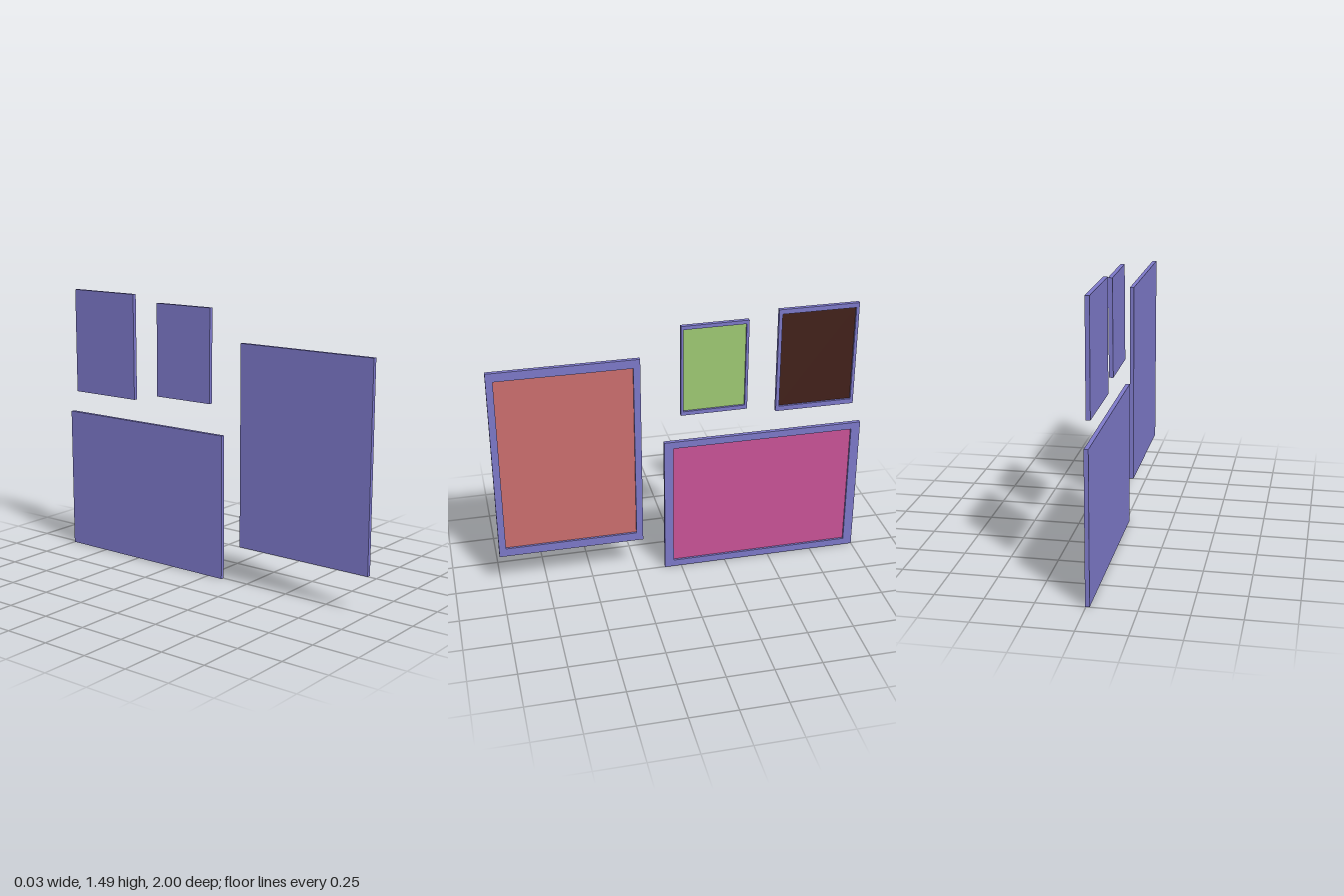
import * as THREE from 'three';

const DEPTH = 0.022; // frame thickness
const RECESS = 0.012; // how far the picture sits behind the frame face
const frameMaterial = new THREE.MeshStandardMaterial({ color: 0x7c78c8 });

// outer / inner: [zMin, zMax, yMin, yMax]
const PICTURES = [
  { name: 'tallPicture', color: 0xca6e6e, x: -0.007, outer: [0.214, 1, 0.203, 1.291], inner: [0.25, 0.963, 0.25, 1.243] },
  { name: 'widePicture', color: 0xc85296, x: -0.007, outer: [-1, 0.092, 0, 0.789], inner: [-0.95, 0.043, 0.039, 0.75] },
  { name: 'smallPicture', color: 0x9dc873, x: 0.002, outer: [-0.355, 0.004, 0.948, 1.456], inner: [-0.341, -0.009, 0.97, 1.436], tiltY: 0.01, tiltZ: -0.007 },
  { name: 'darkPicture', color: 0x412019, x: -0.007, outer: [-0.948, -0.515, 0.911, 1.493], inner: [-0.932, -0.533, 0.938, 1.467] },
];

function trace(path, x0, x1, y0, y1) {
  path.moveTo(x0, y0);
  path.lineTo(x1, y0);
  path.lineTo(x1, y1);
  path.lineTo(x0, y1);
  path.closePath();
  return path;
}

function makePicture({ name, color, x, outer, inner, tiltY = 0, tiltZ = 0 }) {
  const picture = new THREE.Group();
  picture.name = name;
  const cz = (outer[0] + outer[1]) / 2;
  const cy = (outer[2] + outer[3]) / 2;
  // wall coordinates to local ones, with the picture facing local +z
  const local = ([z0, z1, y0, y1]) => [cz - z1, cz - z0, y0 - cy, y1 - cy];
  const o = local(outer);
  const i = local(inner);

  // raised rim around the opening
  const rim = trace(new THREE.Shape(), ...o);
  rim.holes.push(trace(new THREE.Path(), ...i));
  const frame = new THREE.Mesh(
    new THREE.ExtrudeGeometry(rim, { depth: DEPTH, bevelEnabled: false }), frameMaterial);
  frame.name = 'frame';
  frame.position.z = -DEPTH / 2;

  // backing fills the opening from the back up to the picture
  const w = i[1] - i[0];
  const h = i[3] - i[2];
  const mx = (i[0] + i[1]) / 2;
  const my = (i[2] + i[3]) / 2;
  const backDepth = DEPTH - RECESS - 0.001;
  const backing = new THREE.Mesh(new THREE.BoxGeometry(w, h, backDepth), frameMaterial);
  backing.name = 'backing';
  backing.position.set(mx, my, -DEPTH / 2 + backDepth / 2);

  // coloured picture sheet
  const sheet = new THREE.Mesh(
    new THREE.PlaneGeometry(w, h), new THREE.MeshStandardMaterial({ color }));
  sheet.name = 'canvas';
  sheet.position.set(mx, my, DEPTH / 2 - RECESS);

  // turn towards +x
  const turned = new THREE.Group();
  turned.name = 'framedCanvas';
  turned.rotation.y = Math.PI / 2;
  turned.add(frame, backing, sheet);
  picture.add(turned);
  picture.rotation.set(0, tiltY, tiltZ);
  picture.position.set(x, cy, cz);
  return picture;
}

export function createModel() {
  const group = new THREE.Group();
  group.name = 'pictureWall';
  PICTURES.forEach((p) => group.add(makePicture(p)));
  return group;
}
